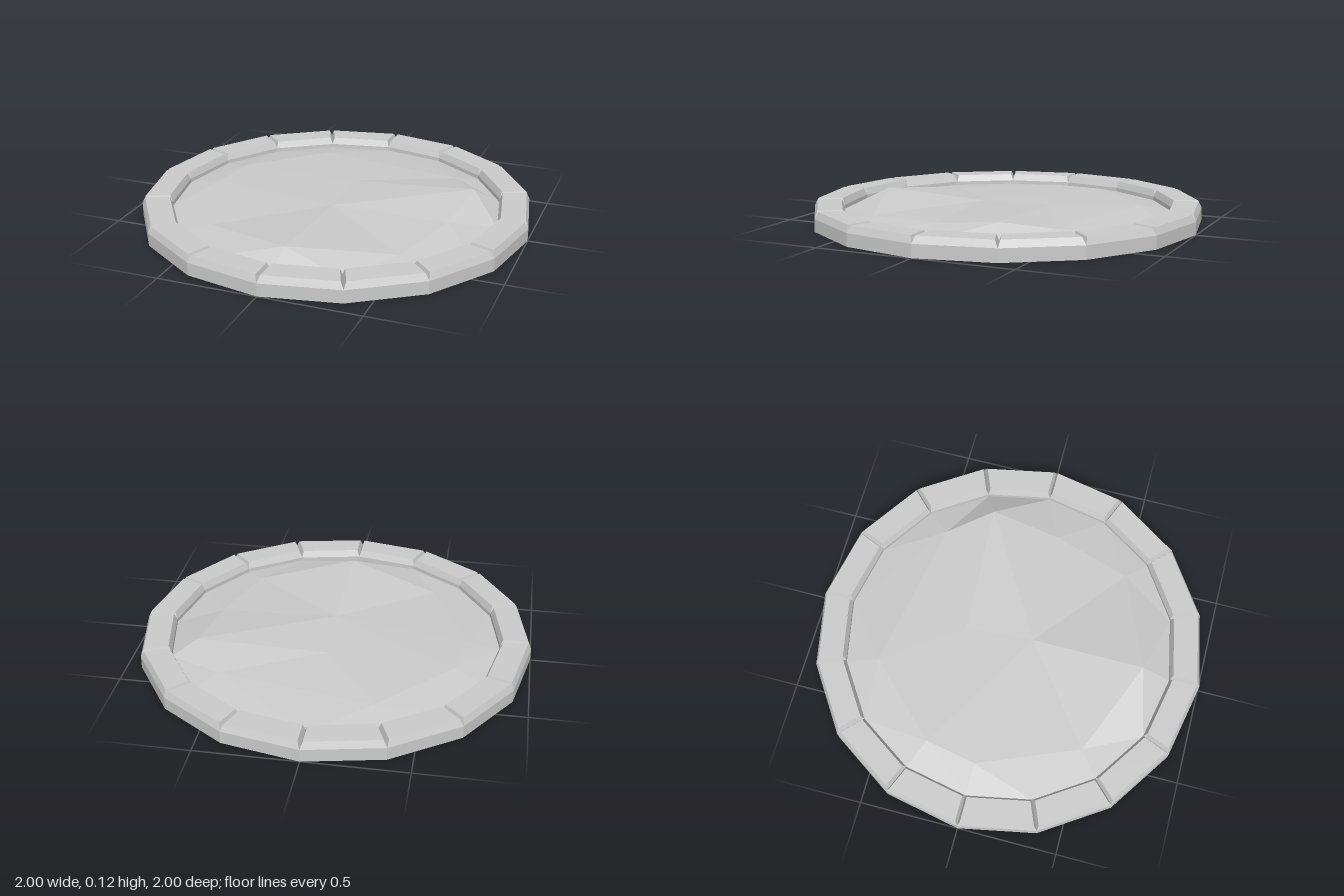
import * as THREE from 'three';

const SIDES = 16;
const STEP = (Math.PI * 2) / SIDES;
const RIM = [0.845, 0.045]; // radius and height where the ground meets the stones

const material = new THREE.MeshStandardMaterial({
  color: 0xcccccc, flatShading: true, side: THREE.DoubleSide,
});

// Flat-shaded geometry from a list of triangles (three Vector3 each)
function facets(tris) {
  const geo = new THREE.BufferGeometry().setFromPoints(tris.flat());
  geo.computeVertexNormals();
  return geo;
}

const quad = (a, b, c, d) => [[a, b, c], [a, c, d]];

// One hollow rim stone facing +x: chamfered profile swept between two seams
function stoneGeometry() {
  // radius, height, inset from the seam
  const profile = [
    [1, 0, 0], [1, 0.065, 0], [0.985, 0.1, 0.012],
    [0.86, 0.1, 0.012], [0.845, 0.065, 0], [...RIM, 0],
  ];
  const section = (side) => profile.map(([r, y, inset]) => new THREE.Vector3(
    r * Math.cos(STEP / 2), y, side * (r * Math.sin(STEP / 2) - inset)));
  const near = section(1);
  const far = section(-1);
  const tris = [];
  for (let i = 0; i < profile.length - 1; i++) {
    tris.push(...quad(far[i], far[i + 1], near[i + 1], near[i]));
  }
  // sloping ends that form the V-shaped joints
  tris.push(...quad(near[1], near[2], near[3], near[4]));
  tris.push(...quad(far[4], far[3], far[2], far[1]));
  return facets(tris);
}

// Uneven ground: two middle points, a ring of bumps and the low rim
function groundGeometry() {
  const v = (x, y, z) => new THREE.Vector3(x, y, z);
  const bumps = [
    v(0.66, 0.123, -0.26), v(0.62, 0.082, 0.1), v(0.5, 0.066, 0.5),
    v(0.01, 0.115, 0.7), v(-0.47, 0.062, 0.5), v(-0.68, 0.075, 0),
    v(-0.63, 0.08, -0.26), v(-0.28, 0.075, -0.62), v(0.5, 0.08, -0.48),
  ];
  const middle = v(0.02, 0.09, 0.12);
  const back = v(0, 0.088, -0.23);
  const tris = [];
  // inner fans
  bumps.forEach((b, i) => {
    tris.push([i < 6 ? middle : back, bumps[(i + 1) % bumps.length], b]);
  });
  tris.push([middle, back, bumps[6]], [middle, bumps[0], back]);

  // slope down to the rim: each rim edge joins its closest bump
  const rim = (k) => v(RIM[0] * Math.cos(k * STEP), RIM[1], RIM[0] * Math.sin(k * STEP));
  const owner = (k) => {
    const mid = rim(k + 0.5).setY(0).normalize();
    const near = (b) => (b.x * mid.x + b.z * mid.z) / Math.hypot(b.x, b.z);
    return bumps.reduce((best, b) => (near(b) > near(best) ? b : best));
  };
  for (let k = 0; k < SIDES; k++) {
    const a = owner(k);
    const b = owner(k + 1);
    tris.push([a, rim(k + 1), rim(k)]);
    if (a !== b) tris.push([a, b, rim(k + 1)]);
  }
  return facets(tris);
}

export function createModel() {
  const model = new THREE.Group();
  model.name = 'stoneRingPlatform';

  const ring = new THREE.Group();
  ring.name = 'stoneRing';
  const geo = stoneGeometry();
  for (let k = 0; k < SIDES; k++) {
    const stone = new THREE.Mesh(geo, material);
    stone.name = 'rimStone';
    stone.rotation.y = (k + 0.5) * STEP;
    ring.add(stone);
  }

  const ground = new THREE.Mesh(groundGeometry(), material);
  ground.name = 'ground';
  model.add(ring, ground);
  return model;
}
